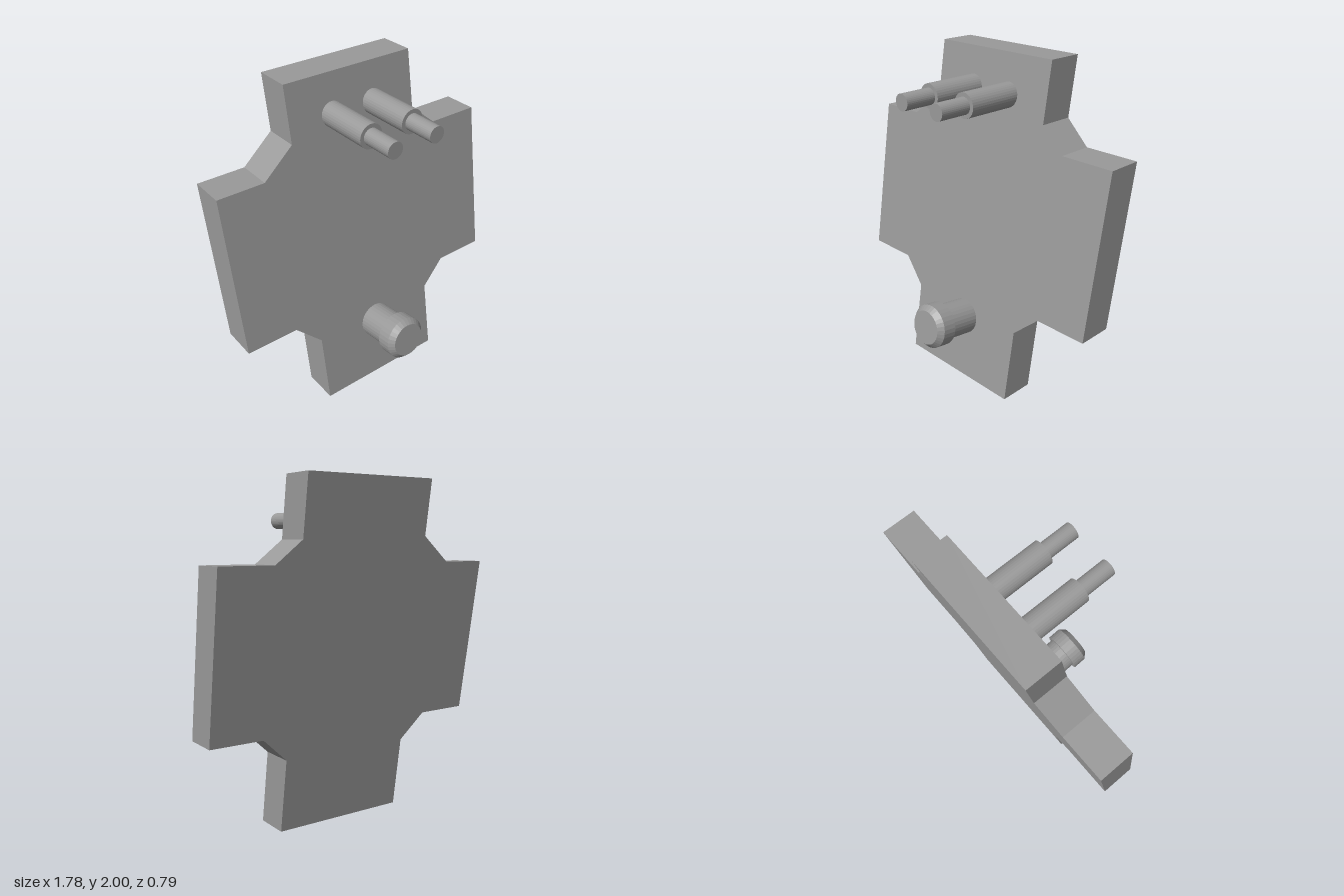
import * as THREE from 'three';

const SLOPE = -0.153;   // lean of the plate: change of z per unit of height
const FRONT = 0.122;    // z of the front face at the foot
const THICK = 0.211;

const material = new THREE.MeshStandardMaterial({ color: 0x999999, flatShading: true });

function addMesh(parent, name, geometry) {
  const mesh = new THREE.Mesh(geometry, material);
  mesh.name = name;
  parent.add(mesh);
  return mesh;
}

// Round part turned from [radius, distance] steps, pointing along +z
function turned(steps) {
  const points = steps.map(([r, d]) => new THREE.Vector2(r, d));
  return new THREE.LatheGeometry(points, 32).rotateX(Math.PI / 2);
}

export function createModel() {
  const model = new THREE.Group();
  model.name = 'mountingPlate';

  // Cross-shaped plate with chamfered inner corners, sheared so it leans back
  const outline = [
    [-0.416, 0], [0.415, 0], [0.415, 0.44], [0.572, 0.585],
    [0.892, 0.585], [0.892, 1.53], [0.57, 1.53], [0.415, 1.66],
    [0.415, 2], [-0.416, 2], [-0.416, 1.68], [-0.61, 1.53],
    [-0.892, 1.53], [-0.892, 0.585], [-0.572, 0.585], [-0.416, 0.43],
  ].map(([x, y]) => new THREE.Vector2(x, y));
  const plate = new THREE.ExtrudeGeometry(new THREE.Shape(outline), { depth: THICK, bevelEnabled: false });
  const shear = new THREE.Matrix4().set(
    1, 0, 0, 0,
    0, 1, 0, 0,
    0, SLOPE, 1, FRONT - THICK,
    0, 0, 0, 1,
  );
  plate.applyMatrix4(shear);
  plate.computeVertexNormals();
  addMesh(model, 'plate', plate);

  // Two stepped pins, level with the ground
  const pinSteps = [[0, -0.2], [0.071, -0.2], [0.071, 0.186], [0.048, 0.186], [0.048, 0.38], [0, 0.38]];
  for (const [name, x] of [['rightPin', -0.138], ['leftPin', 0.137]]) {
    addMesh(model, name, turned(pinSteps)).position.set(x, 1.772, 0);
  }

  // Knob standing square to the plate: stem, wider collar, chamfered tip
  const knobSteps = [
    [0, -0.24], [0.109, -0.24], [0.109, 0], [0.133, 0],
    [0.133, 0.085], [0.104, 0.118], [0, 0.118],
  ];
  const knob = addMesh(model, 'knob', turned(knobSteps));
  knob.position.set(0, 0.413, 0.26);
  knob.rotation.x = Math.atan(SLOPE);

  return model;
}
